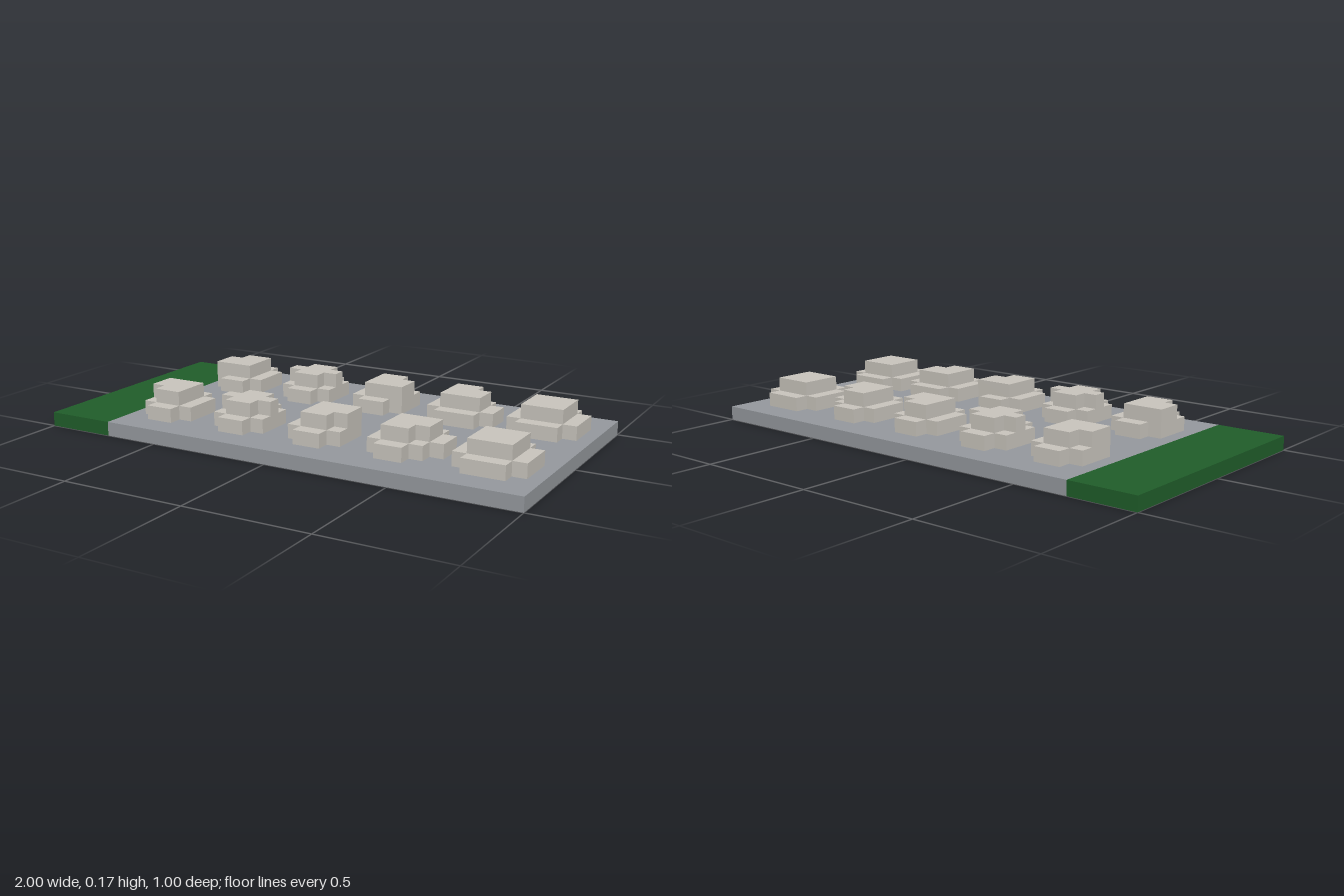
import * as THREE from 'three';

const U = 1 / 18; // one block: the slab is 36 x 18 blocks

const mat = (name, color) => Object.assign(new THREE.MeshStandardMaterial({ color }), { name });

// Extrudes a stepped outline one block high; rows are [x0, x1] spans from z0 towards +z
function steppedLayer(rows, z0, level) {
  const pts = [];
  rows.forEach(([, x1], i) => pts.push([x1, z0 + i], [x1, z0 + i + 1]));
  for (let i = rows.length - 1; i >= 0; i--) {
    pts.push([rows[i][0], z0 + i + 1], [rows[i][0], z0 + i]);
  }
  const unique = pts.filter((p, i) => {
    const q = pts[(i + 1) % pts.length];
    return p[0] !== q[0] || p[1] !== q[1];
  });
  const shape = new THREE.Shape(unique.map(([x, z]) => new THREE.Vector2((x - 18) * U, (9 - z) * U)));
  const geo = new THREE.ExtrudeGeometry(shape, { depth: U, bevelEnabled: false });
  geo.rotateX(-Math.PI / 2);
  geo.translate(0, level * U, 0);
  return geo;
}

// Each mound: lower rows (5 deep) and upper rows (3 deep), listed for the back line
const MOUNDS = [
  { lower: [[7, 9], [6, 10], [6, 10], [6, 10], [7, 9]], upper: [[7, 9], [6, 9], [6, 9]] },
  { lower: [[13, 15], [12, 16], [12, 16], [12, 16], [13, 15]], upper: [[13, 15], [12, 16], [13, 15]] },
  { lower: [[19, 21], [18, 22], [18, 22], [18, 22], [19, 21]], upper: [[19, 21], [19, 22], [19, 22]] },
  { lower: [[25, 27], [24, 28], [24, 29], [24, 29], [25, 28]], upper: [[25, 27], [25, 28], [25, 28]] },
  { lower: [[31, 34], [30, 35], [30, 35], [30, 35], [31, 34]], upper: [[31, 34], [31, 34], [31, 34]] },
];

export function createModel() {
  const model = new THREE.Group();
  model.name = 'slabWithMounds';
  const grey = mat('slabGrey', 0x969a9f);
  const green = mat('darkGreen', 0x205e2a);
  const stone = mat('paleStone', 0xcac6be);

  const add = (parent, name, geo, material) => {
    const mesh = new THREE.Mesh(geo, material);
    mesh.name = name;
    parent.add(mesh);
  };

  // Base: green end strip and grey slab
  const base = (x0, x1) =>
    new THREE.BoxGeometry((x1 - x0) * U, U, 1).translate(((x0 + x1) / 2 - 18) * U, U / 2, 0);
  add(model, 'greenStrip', base(0, 5), green);
  add(model, 'greySlab', base(5, 36), grey);

  // Two lines of stepped mounds, the front one mirrored in z
  for (const side of ['back', 'front']) {
    MOUNDS.forEach(({ lower, upper }, i) => {
      const mound = new THREE.Group();
      mound.name = `${side}Mound${i + 1}`;
      const front = side === 'front';
      const order = (rows) => (front ? [...rows].reverse() : rows);
      add(mound, 'lowerStep', steppedLayer(order(lower), front ? 11 : 2, 1), stone);
      add(mound, 'upperStep', steppedLayer(order(upper), front ? 12 : 3, 2), stone);
      model.add(mound);
    });
  }
  return model;
}
